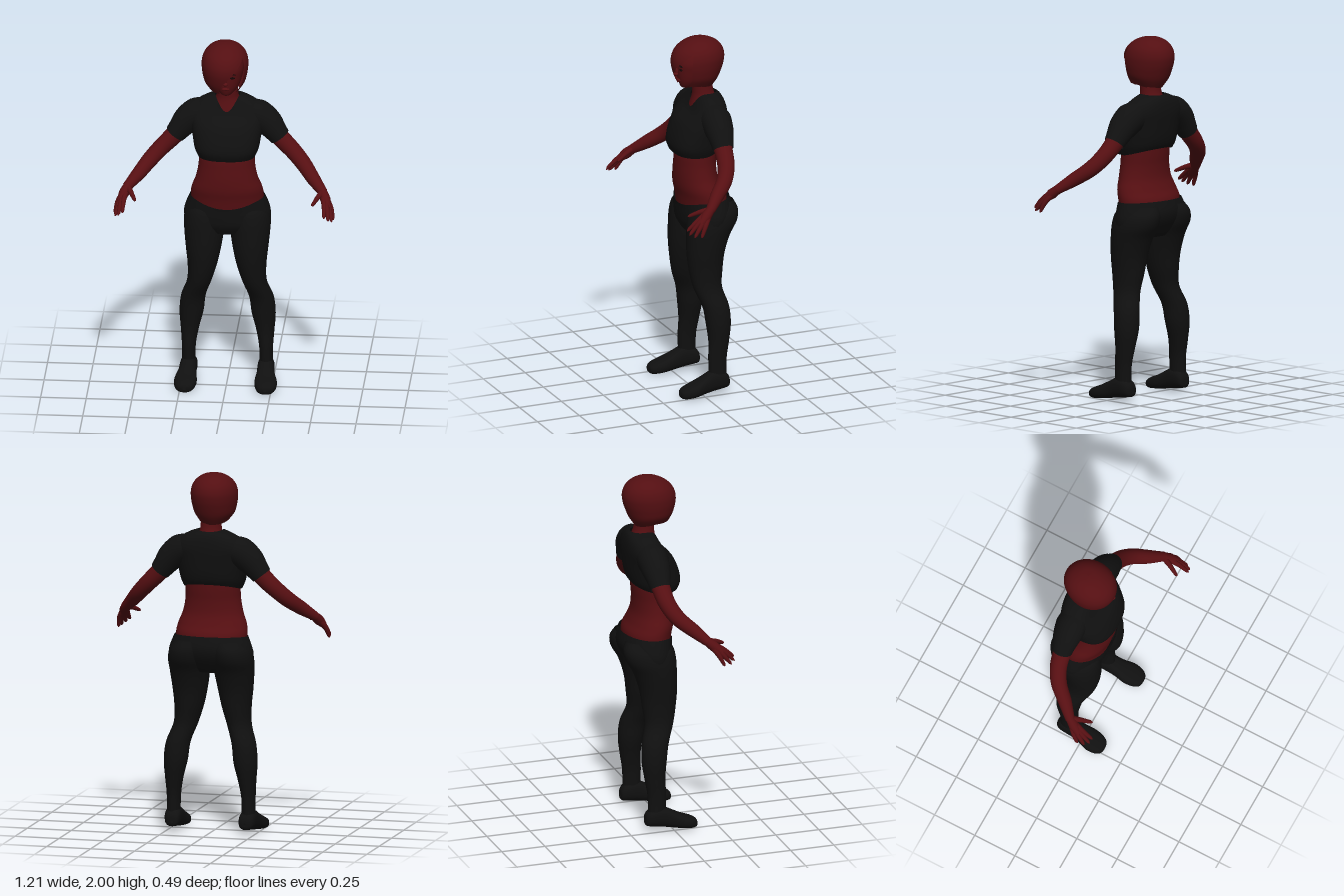
import * as THREE from 'three';
import { mergeVertices } from 'three/addons/utils/BufferGeometryUtils.js';

const mat = (name, color, side = THREE.FrontSide) => {
  const m = new THREE.MeshStandardMaterial({ color, side });
  m.name = name;
  return m;
};

// Catmull-Rom blend of four numbers
const blend = (a, b, c, d, t) =>
  0.5 * (2 * b + (c - a) * t + (2 * a - 5 * b + 4 * c - d) * t * t + (3 * b - a - 3 * c + d) * t * t * t);

// Skin over rings listed upwards: [y, centre x, half width, z front, z back, front dip, back lift, power, arc start, arc end]
function loft(rings, seg = 40, sub = 5) {
  const full = rings.map(r => [0, 0, 0, 0, 0, 0, 0, 2, 0, 0].map((d, i) => r[i] ?? d));
  const rows = [];
  full.forEach((r, i) => {
    if (i === full.length - 1) return rows.push(r);
    const a = full[Math.max(0, i - 1)], c = full[i + 1], d = full[Math.min(full.length - 1, i + 2)];
    for (let k = 0; k < sub; k++) rows.push(r.map((v, j) => blend(a[j], v, c[j], d[j], k / sub)));
  });
  const pos = [], idx = [];
  rows.forEach(([y, cx, w, zf, zb, dip, lift, n, a0, a1], i) => {
    const start = Math.max(a0, a1);
    for (let j = 0; j <= seg; j++) {
      const a = THREE.MathUtils.degToRad(start + (a1 + 360 - start) * j / seg);
      const c = Math.cos(a), s = Math.sin(a);
      const pw = v => Math.sign(v) * Math.abs(v) ** (2 / n);
      const zm = (zf + zb) / 2, zr = (zf - zb) / 2;
      pos.push(cx + w * pw(c), y + dip * Math.max(0, s) ** 3 + lift * Math.max(0, -s), zm + zr * pw(s));
      if (i && j < seg) {
        const q = i * (seg + 1) + j, p = q - seg - 1;
        idx.push(p, q, p + 1, p + 1, q, q + 1);
      }
    }
  });
  const g = new THREE.BufferGeometry();
  g.setAttribute('position', new THREE.Float32BufferAttribute(pos, 3));
  g.setIndex(idx);
  const merged = mergeVertices(g, 1e-5);
  merged.computeVertexNormals();
  return merged;
}

// Tapering tube through points [x, y, z, radius]
function limb(points, side, segs = 24, radial = 18) {
  const curve = new THREE.CatmullRomCurve3(points.map(p => new THREE.Vector3(p[0] * side, p[1], p[2])));
  const g = new THREE.TubeGeometry(curve, segs, 1, radial, false);
  const pos = g.attributes.position, v = new THREE.Vector3();
  for (let i = 0; i <= segs; i++) {
    const u = i / segs, c = curve.getPointAt(u);
    const t = curve.getUtoTmapping(u) * (points.length - 1);
    const k = Math.min(points.length - 2, Math.floor(t));
    const r = THREE.MathUtils.lerp(points[k][3], points[k + 1][3], t - k);
    for (let j = 0; j <= radial; j++) {
      const n = i * (radial + 1) + j;
      v.fromBufferAttribute(pos, n).sub(c).multiplyScalar(r).add(c);
      pos.setXYZ(n, v.x, v.y, v.z);
    }
  }
  return g;
}

export function createModel() {
  const model = new THREE.Group();
  model.name = 'woman';
  const skin = mat('skin', 0x560f12);
  const hair = mat('hair', 0x540f12, THREE.DoubleSide);
  const cloth = mat('black cloth', 0x101010, THREE.DoubleSide);
  const dark = mat('eye dark', 0x140606);

  const add = (name, geo, material, parent = model) => {
    const m = new THREE.Mesh(geo, material);
    m.name = name;
    parent.add(m);
    return m;
  };
  const ball = (name, material, p, s) => {
    const m = add(name, new THREE.SphereGeometry(1, 20, 14), material);
    m.position.set(...p);
    m.scale.set(...s);
    return m;
  };

  // Midriff and neck
  add('midriff', loft([
    [1.0, 0, 0.19, 0.04, -0.2], [1.1, 0, 0.2, 0.052, -0.208], [1.16, 0, 0.192, 0.064, -0.18],
    [1.22, 0, 0.17, 0.067, -0.158], [1.29, 0, 0.156, 0.064, -0.153], [1.36, 0, 0.153, 0.058, -0.158],
    [1.5, 0, 0.15, 0.03, -0.165],
  ]), skin);
  add('neck', loft([
    [1.56, 0, 0.11, -0.01, -0.17], [1.62, 0, 0.09, -0.023, -0.165], [1.67, 0, 0.066, -0.033, -0.158],
    [1.71, 0, 0.058, -0.034, -0.147], [1.8, 0, 0.055, -0.03, -0.14],
  ]), skin);

  // Cropped top with a dipped neckline
  add('top', loft([
    [1.355, 0, 0.158, 0.085, -0.168, 0, 0.035, 2.5], [1.4, 0, 0.176, 0.1, -0.182, 0, 0.015, 2.5],
    [1.46, 0, 0.187, 0.09, -0.193, 0, 0, 2.4], [1.53, 0, 0.2, 0.06, -0.2, 0, 0, 2.3],
    [1.59, 0, 0.205, 0.022, -0.203, -0.02, 0, 2.3], [1.64, 0, 0.172, 0, -0.198, -0.05, 0, 2.2],
    [1.672, 0, 0.12, -0.01, -0.186, -0.07, 0], [1.69, 0, 0.068, -0.016, -0.168, -0.08, -0.005],
  ], 48), cloth);

  // Hips with a sloping waistband
  add('hips', loft([
    [0.9, 0, 0.15, 0.02, -0.16], [0.95, 0, 0.225, 0.045, -0.2], [1.0, 0, 0.238, 0.052, -0.228],
    [1.05, 0, 0.226, 0.054, -0.236, -0.01], [1.1, 0, 0.205, 0.056, -0.222, -0.04, 0.008],
  ]), cloth);

  for (const s of [1, -1]) {
    const tag = s > 0 ? 'left' : 'right';

    // Trouser leg, ankle to buttock
    add(tag + 'Leg', loft([
      [0.08, s * 0.213, 0.037, -0.04, -0.14], [0.2, s * 0.212, 0.038, -0.036, -0.141],
      [0.3, s * 0.207, 0.05, -0.04, -0.156], [0.4, s * 0.198, 0.066, -0.03, -0.169],
      [0.5, s * 0.186, 0.067, -0.014, -0.163], [0.6, s * 0.152, 0.067, 0.024, -0.137],
      [0.7, s * 0.135, 0.081, 0.044, -0.146], [0.8, s * 0.129, 0.097, 0.053, -0.16],
      [0.9, s * 0.126, 0.11, 0.052, -0.193], [0.97, s * 0.123, 0.115, 0.048, -0.234],
      [1.03, s * 0.115, 0.108, 0.035, -0.245], [1.08, s * 0.1, 0.08, 0, -0.225],
    ], 32), cloth);

    // Shoe, heel to toe
    const shoe = loft([
      [-0.157, s * 0.207, 0.008, -0.05, -0.07, 0, 0, 2.5], [-0.15, s * 0.208, 0.032, -0.034, -0.1, 0, 0, 2.5],
      [-0.12, s * 0.211, 0.045, -0.028, -0.127, 0, 0, 2.5], [-0.06, s * 0.213, 0.047, -0.02, -0.136, 0, 0, 2.5],
      [-0.01, s * 0.215, 0.05, -0.012, -0.113, 0, 0, 2.5], [0.05, s * 0.22, 0.062, -0.004, -0.083, 0, 0, 2.5],
      [0.1, s * 0.222, 0.055, 0, -0.065, 0, 0, 2.5], [0.13, s * 0.222, 0.036, -0.004, -0.048, 0, 0, 2.5],
      [0.138, s * 0.222, 0.008, -0.02, -0.032, 0, 0, 2.5],
    ], 28, 4);
    shoe.rotateX(Math.PI / 2);
    add(tag + 'Shoe', shoe, cloth);

    // Sleeve and arm
    add(tag + 'Sleeve', limb([
      [0.1, 1.585, -0.1, 0.075], [0.17, 1.565, -0.098, 0.087], [0.225, 1.523, -0.096, 0.078],
      [0.26, 1.48, -0.094, 0.065], [0.288, 1.443, -0.092, 0.057],
    ], s, 24, 24), cloth);
    add(tag + 'Arm', limb([
      [0.2, 1.55, -0.095, 0.06], [0.29, 1.44, -0.09, 0.051], [0.36, 1.37, -0.076, 0.047],
      [0.42, 1.31, -0.04, 0.044], [0.48, 1.25, 0.03, 0.038], [0.54, 1.195, 0.095, 0.026],
    ], s, 36), skin);

    // Hand: palm and fingers fanning out from the wrist
    const hand = new THREE.Group();
    hand.name = tag + 'Hand';
    model.add(hand);
    const wrist = [0.535, 1.2, 0.09];
    add('palm', limb([[...wrist, 0.025], [0.553, 1.17, 0.125, 0.029], [0.57, 1.138, 0.16, 0.018], [0.573, 1.13, 0.168, 0.003]], s), skin, hand);
    const fingers = {
      indexFinger: [[0.55, 1.15, 0.175], [0.553, 1.1, 0.24]],
      middleFinger: [[0.565, 1.14, 0.175], [0.576, 1.083, 0.235]],
      ringFinger: [[0.577, 1.13, 0.163], [0.594, 1.07, 0.212]],
      littleFinger: [[0.585, 1.127, 0.142], [0.6, 1.066, 0.172]],
      thumb: [[0.512, 1.185, 0.145], [0.484, 1.158, 0.205]],
    };
    for (const [name, [knuckle, tip]] of Object.entries(fingers)) {
      const mid = knuckle.map((v, i) => v + (tip[i] - v) * 0.85);
      add(name, limb([[...wrist, 0.018], [...knuckle, 0.014], [...mid, 0.009], [...tip, 0.002]], s, 14, 10), skin, hand);
    }

    // Face details
    ball(tag + 'Eye', dark, [s * 0.036, 1.84, 0.053], [0.016, 0.006, 0.006]);
    const brow = ball(tag + 'Brow', dark, [s * 0.038, 1.862, 0.055], [0.02, 0.004, 0.006]);
    brow.rotation.z = -s * 0.12;
  }

  // Head, nose and lips
  add('head', loft([
    [1.724, 0, 0.006, 0.018, 0.005], [1.728, 0, 0.026, 0.034, -0.03], [1.748, 0, 0.05, 0.045, -0.08],
    [1.78, 0, 0.072, 0.054, -0.13], [1.83, 0, 0.087, 0.06, -0.165], [1.88, 0, 0.092, 0.062, -0.18],
    [1.94, 0, 0.07, 0.035, -0.15], [1.965, 0, 0.02, -0.03, -0.08],
  ]), skin);
  ball('noseBridge', skin, [0, 1.825, 0.06], [0.009, 0.024, 0.012]);
  ball('noseTip', skin, [0, 1.808, 0.068], [0.014, 0.01, 0.014]);
  ball('lips', skin, [0, 1.773, 0.052], [0.022, 0.008, 0.01]);

  // Bob haircut with a fringe swept across the face
  add('hair', loft([
    [1.74, -0.01, 0.08, 0.045, -0.145, 0, -0.02, 2, 108, 40], [1.78, -0.012, 0.109, 0.064, -0.178, 0, -0.012, 2, 100, 32],
    [1.82, -0.012, 0.121, 0.077, -0.2, 0, 0, 2, 84, 30], [1.86, -0.012, 0.127, 0.084, -0.212, 0, 0, 2, 68, 30],
    [1.9, -0.012, 0.127, 0.08, -0.216, 0, 0, 2, 50, 30], [1.94, -0.012, 0.115, 0.06, -0.204, 0, 0, 2, 32, 32],
    [1.972, -0.012, 0.088, 0.022, -0.175, 0, 0, 2, 32, 32], [1.993, -0.012, 0.05, -0.025, -0.13, 0, 0, 2, 32, 32],
    [2.0, -0.012, 0.002, -0.074, -0.078, 0, 0, 2, 32, 32],
  ], 56, 6), hair);

  return model;
}
